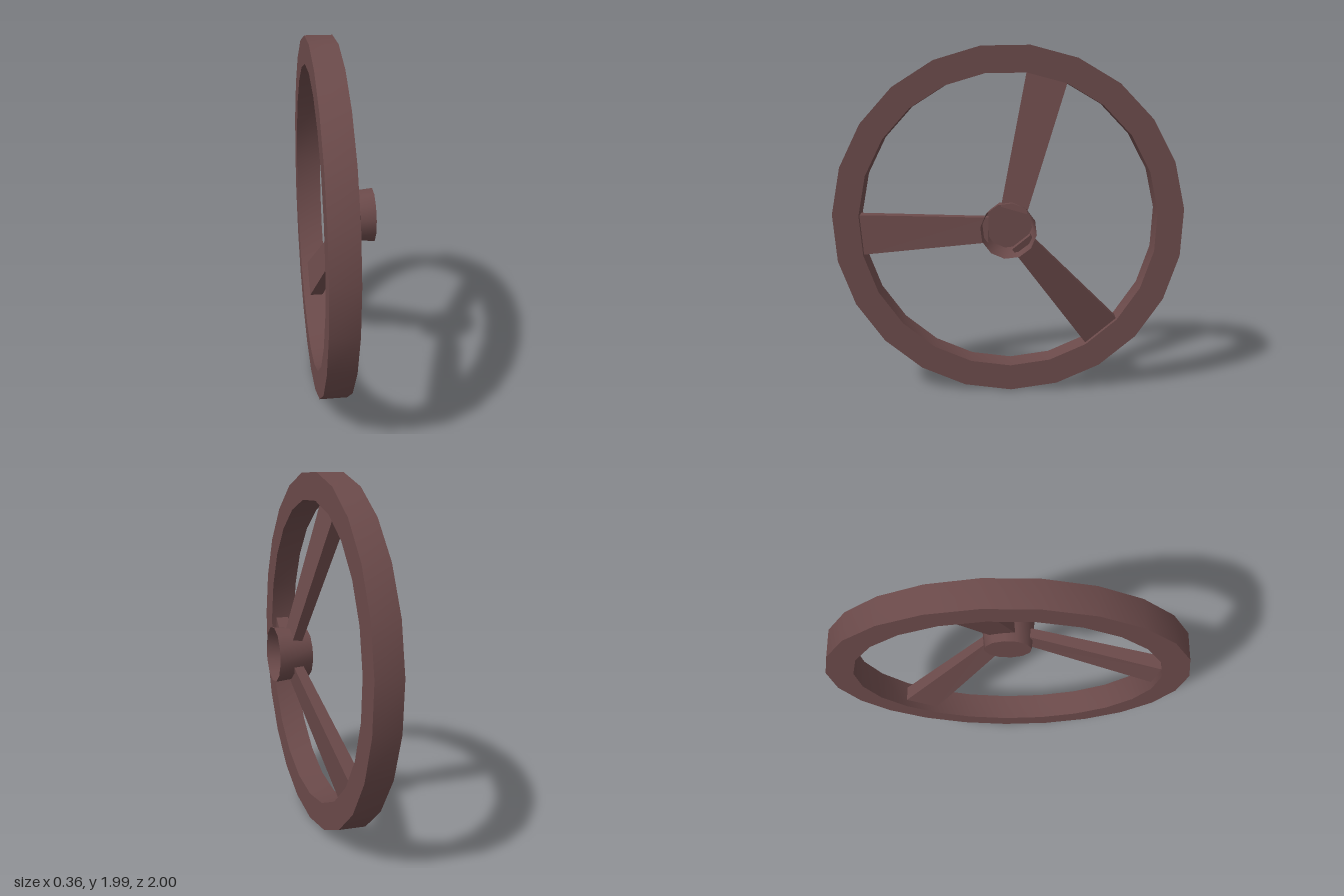
import * as THREE from 'three';
import { toCreasedNormals } from 'three/addons/utils/BufferGeometryUtils.js';

const SIDES = 23;
const START = THREE.MathUtils.degToRad(0.9);
const RIM_IN = 0.85;

const material = new THREE.MeshStandardMaterial({ color: 0x6b4a4a, side: THREE.DoubleSide });

// Turns a profile of [radius, x] points about the wheel axis (x); angles start at the bottom
function turned(name, profile, sides, start) {
  const points = profile.map(([r, x]) => new THREE.Vector2(r, x));
  const geometry = new THREE.LatheGeometry(points, sides, start);
  geometry.applyMatrix4(new THREE.Matrix4().makeBasis(
    new THREE.Vector3(0, 0, -1), new THREE.Vector3(1, 0, 0), new THREE.Vector3(0, -1, 0)));
  geometry.translate(0, 1, 0);
  const mesh = new THREE.Mesh(toCreasedNormals(geometry, 0.65), material);
  mesh.name = name;
  return mesh;
}

// Tapered bar from one inner facet of the rim to two hub corners given as [y, z]
function spoke(name, facet, hubA, hubB) {
  const rimCorner = (i) => {
    const a = START + (i * Math.PI * 2) / SIDES;
    return [1 - RIM_IN * Math.cos(a), -RIM_IN * Math.sin(a)];
  };
  const ends = {
    rim: { x: [-0.14, -0.06], sides: [rimCorner(facet), rimCorner(facet + 1)] },
    hub: { x: [0.045, 0.1], sides: [hubA, hubB] },
  };
  const geometry = new THREE.BoxGeometry(1, 1, 1).toNonIndexed();
  const p = geometry.attributes.position;
  for (let i = 0; i < p.count; i++) {
    const end = p.getZ(i) > 0 ? ends.hub : ends.rim;
    const [y, z] = end.sides[p.getY(i) > 0 ? 1 : 0];
    p.setXYZ(i, end.x[p.getX(i) > 0 ? 1 : 0], y, z);
  }
  geometry.computeVertexNormals();
  const mesh = new THREE.Mesh(geometry, material);
  mesh.name = name;
  return mesh;
}

export function createModel() {
  const group = new THREE.Group();
  group.name = 'handwheel';

  // Square-section rim
  group.add(turned('rim', [
    [RIM_IN, -0.18], [1, -0.18], [1, -0.03], [RIM_IN, -0.03], [RIM_IN, -0.18],
  ], SIDES, START));

  // Thin flared cup, open towards +x
  group.add(turned('hub', [[0, -0.01], [0.135, -0.01], [0.155, 0.18]], 12,
    THREE.MathUtils.degToRad(-8)));

  // Three sloping spokes
  group.add(spoke('lowerSpoke', 2, [0.88, -0.02], [0.96, -0.12]));
  group.add(spoke('upperSpoke', 10, [1.08, -0.1], [1.12, 0.04]));
  group.add(spoke('frontSpoke', 17, [1.06, 0.11], [0.92, 0.11]));

  return group;
}
